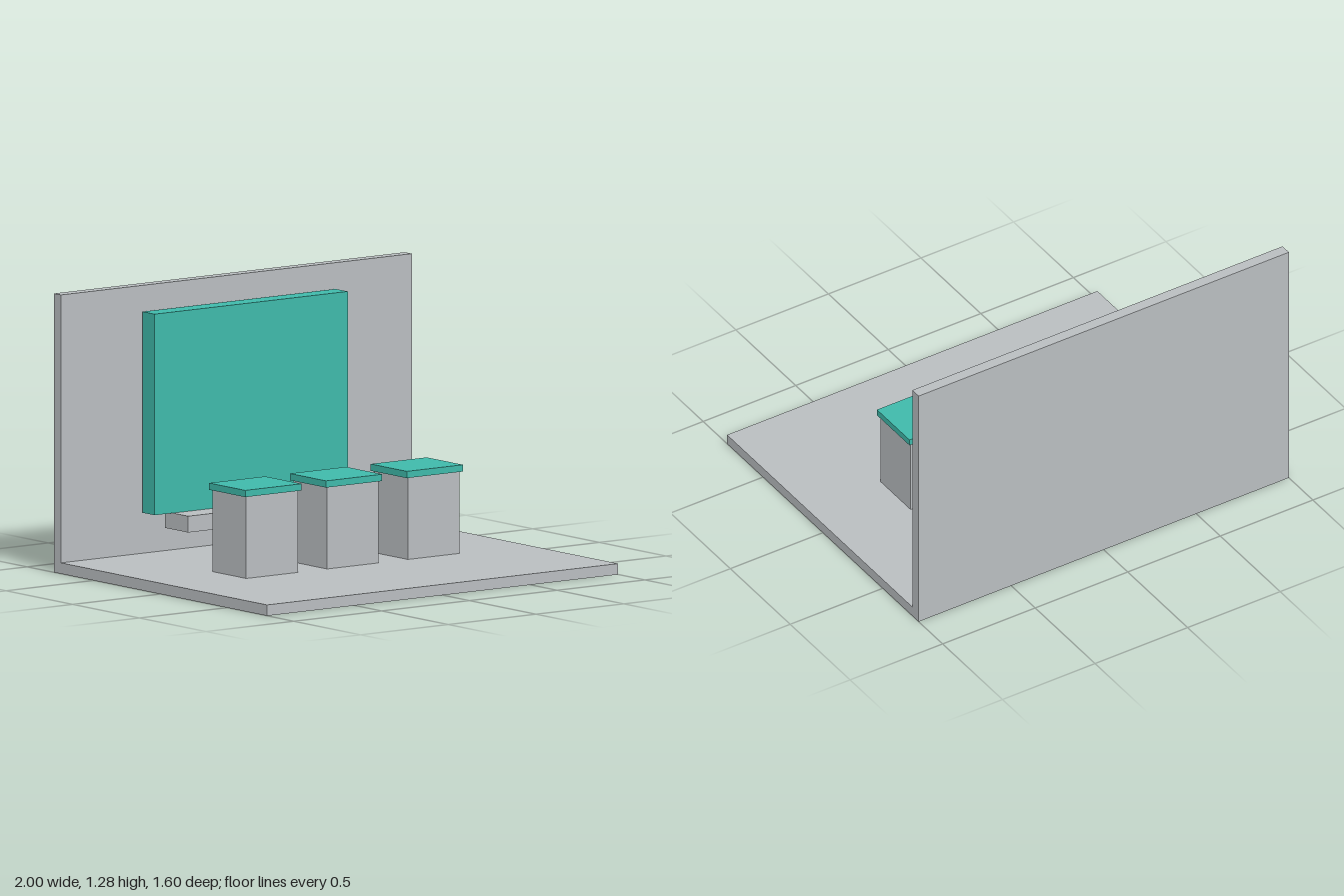
import * as THREE from 'three';

export function createModel() {
  const model = new THREE.Group();
  model.name = 'displayRoom';

  const grey = new THREE.MeshStandardMaterial({ color: 0xb9bdc0 });
  grey.name = 'light grey';
  const teal = new THREE.MeshStandardMaterial({ color: 0x3fb9aa });
  teal.name = 'teal';

  // Box given by its lower and upper limits on each axis
  function box(name, material, [x0, x1], [y0, y1], [z0, z1], parent = model) {
    const mesh = new THREE.Mesh(new THREE.BoxGeometry(x1 - x0, y1 - y0, z1 - z0), material);
    mesh.position.set((x0 + x1) / 2, (y0 + y1) / 2, (z0 + z1) / 2);
    mesh.name = name;
    parent.add(mesh);
    return mesh;
  }

  // Room shell
  box('floor', grey, [-1, 1], [0, 0.05], [-0.747, 0.8]);
  box('backWall', grey, [-1, 1], [0, 1.28], [-0.8, -0.747]);

  // Screen resting on a shelf
  box('screen', teal, [-0.55, 0.55], [0.24, 1.163], [-0.727, -0.636]);
  box('shelf', grey, [-0.447, 0.447], [0.165, 0.24], [-0.52, -0.695]
    .sort((a, b) => a - b));

  // Row of three pedestals with overhanging tops
  for (const x of [-0.46, 0, 0.46]) {
    const pedestal = new THREE.Group();
    pedestal.name = 'pedestal';
    pedestal.position.x = x;
    box('pedestalBase', grey, [-0.147, 0.147], [0.05, 0.426], [-0.126, 0.126], pedestal);
    box('pedestalTop', teal, [-0.16, 0.16], [0.426, 0.457], [-0.136, 0.136], pedestal);
    model.add(pedestal);
  }

  return model;
}
